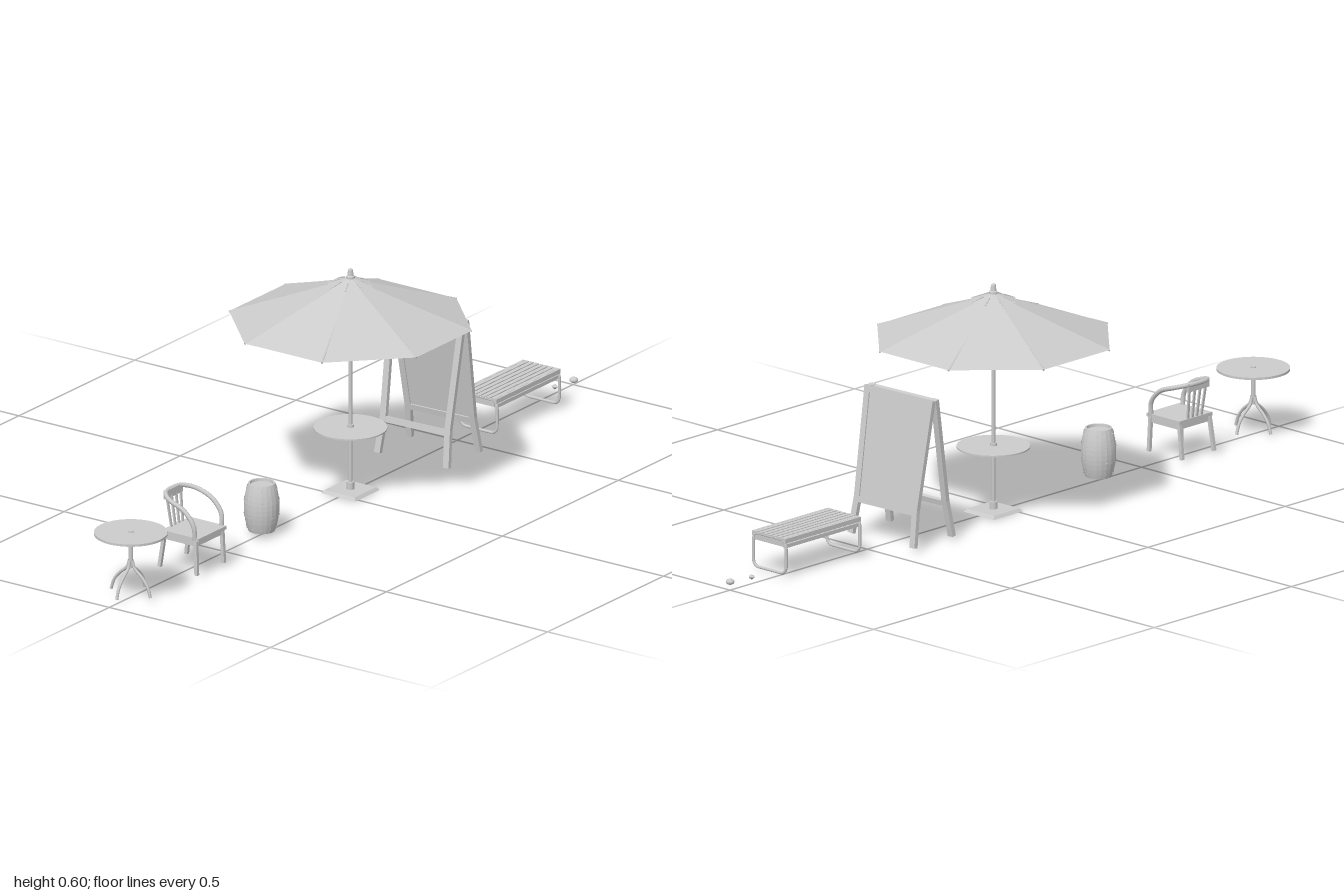
import * as THREE from 'three';

const smooth = new THREE.MeshStandardMaterial({ color: 0xcccccc, side: THREE.DoubleSide });
const flat = new THREE.MeshStandardMaterial({ color: 0xcccccc, side: THREE.DoubleSide, flatShading: true });
const V = (x, y, z) => new THREE.Vector3(x, y, z);

function add(parent, name, geo, x = 0, y = 0, z = 0, mat = flat) {
  const m = new THREE.Mesh(geo, mat);
  m.name = name;
  m.position.set(x, y, z);
  parent.add(m);
  return m;
}
function box(parent, name, w, h, d, x, y, z) {
  return add(parent, name, new THREE.BoxGeometry(w, h, d), x, y, z);
}
function group(parent, name, x = 0, y = 0, z = 0) {
  const g = new THREE.Group();
  g.name = name;
  g.position.set(x, y, z);
  parent.add(g);
  return g;
}
// Straight bar between two points: round when d is omitted, else a w x d box
function bar(parent, name, a, b, w, d) {
  const len = a.distanceTo(b);
  const geo = d ? new THREE.BoxGeometry(w, len, d) : new THREE.CylinderGeometry(w, w, len, 8);
  const m = add(parent, name, geo, 0, 0, 0, d ? flat : smooth);
  m.position.copy(a).add(b).multiplyScalar(0.5);
  m.quaternion.setFromUnitVectors(V(0, 1, 0), b.clone().sub(a).normalize());
  return m;
}
function tube(parent, name, pts, r, closed = false, tension = 0.5) {
  const curve = new THREE.CatmullRomCurve3(pts, closed, 'catmullrom', tension);
  return add(parent, name, new THREE.TubeGeometry(curve, 40, r, 8, closed), 0, 0, 0, smooth);
}
const disc = (r, h, n = 48) => new THREE.CylinderGeometry(r, r, h, n);

function bistroTable(root) {
  const g = group(root, 'bistroTable', -0.907);
  add(g, 'tableTop', disc(0.093, 0.006), 0, 0.173, 0);
  add(g, 'topCap', disc(0.007, 0.004, 12), 0, 0.177, 0);
  bar(g, 'column', V(0, 0.08, 0), V(0, 0.17, 0), 0.006);
  for (let i = 0; i < 4; i++) {
    const a = i * Math.PI / 2, c = Math.cos(a), s = Math.sin(a);
    const p = [[0.005, 0.1], [0.012, 0.08], [0.035, 0.06], [0.052, 0.038], [0.061, 0.012]];
    tube(g, 'tableLeg', p.map(([r, y]) => V(r * c, y, r * s)), 0.004);
    bar(g, 'topSupport', V(0, 0.167, 0), V(0.07 * c, 0.167, 0.07 * s), 0.003);
  }
}

function chair(root) {
  const g = group(root, 'chair', -0.648);
  box(g, 'seat', 0.12, 0.009, 0.115, 0, 0.107, 0.01);
  for (const z of [-0.04, 0.055]) box(g, 'apron', 0.108, 0.016, 0.006, 0, 0.096, z);
  for (const s of [-1, 1]) {
    box(g, 'sideApron', 0.006, 0.016, 0.1, s * 0.054, 0.096, 0.008);
    bar(g, 'frontLeg', V(s * 0.058, 0.012, 0.06), V(s * 0.056, 0.105, 0.056), 0.009, 0.009);
    bar(g, 'rearLeg', V(s * 0.058, 0.012, -0.055), V(s * 0.054, 0.105, -0.042), 0.009, 0.009);
  }
  // Hoop sweeping from the front of the seat over the back
  const half = [[0.057, 0.105, 0.054], [0.06, 0.145, 0.05], [0.06, 0.178, 0.02], [0.057, 0.195, -0.025], [0.035, 0.203, -0.053]];
  tube(g, 'armAndBackHoop', [
    ...half.map(p => V(-p[0], p[1], p[2])), V(0, 0.204, -0.059),
    ...half.map(p => V(...p)).reverse()], 0.006);
  box(g, 'backCrest', 0.075, 0.022, 0.007, 0, 0.196, -0.055);
  for (const x of [-0.03, -0.01, 0.01, 0.03])
    bar(g, 'backSlat', V(x * 0.8, 0.105, -0.042), V(x, 0.196, -0.054), 0.007, 0.004);
}

function barrel(root) {
  const g = group(root, 'barrel', -0.343, 0.013);
  const R = y => 0.045 - 0.011 * ((y - 0.0635) / 0.0635) ** 2;
  const pts = [[0, 0.004], [0.03, 0.004], [0.031, 0]].map(p => new THREE.Vector2(...p));
  for (let i = 0; i <= 10; i++) pts.push(new THREE.Vector2(R(i * 0.0127), i * 0.0127));
  pts.push(new THREE.Vector2(0.03, 0.127), new THREE.Vector2(0.029, 0.12), new THREE.Vector2(0, 0.12));
  add(g, 'barrelStaves', new THREE.LatheGeometry(pts, 20));
  for (const y of [0.012, 0.043, 0.084, 0.115]) {
    add(g, 'hoop', new THREE.CylinderGeometry(R(y + 0.004) + 0.001, R(y - 0.004) + 0.001, 0.008, 20, 1, true), 0, y, 0);
    for (let i = 0; i < 10; i++) {
      const a = i * Math.PI / 5, r = R(y) + 0.001;
      add(g, 'rivet', new THREE.SphereGeometry(0.0015, 6, 4), r * Math.cos(a), y, r * Math.sin(a));
    }
  }
}

function parasol(root) {
  const g = group(root, 'parasol', 0.04);
  const base = add(g, 'base', new THREE.CylinderGeometry(0.066, 0.075, 0.008, 4), 0, 0.005, 0);
  base.rotation.y = Math.PI / 4;
  add(g, 'baseCollar', disc(0.01, 0.02, 12), 0, 0.018, 0);
  bar(g, 'pole', V(0, 0.008, 0), V(0, 0.575, 0), 0.005);
  add(g, 'tableTop', disc(0.093, 0.004), 0, 0.173, 0);
  add(g, 'tableCollar', disc(0.009, 0.012, 12), 0, 0.176, 0);
  // Eight-sided canopy with flat sides towards x and z
  const R = 0.314, rim = 0.459, top = 0.573;
  const canopy = add(g, 'canopy', new THREE.ConeGeometry(R, top - rim, 8, 1, true), 0, (rim + top) / 2, 0);
  canopy.rotation.y = Math.PI / 8;
  const vent = add(g, 'ventCap', new THREE.ConeGeometry(0.06, 0.021, 8, 1, true), 0, 0.567, 0);
  vent.rotation.y = Math.PI / 8;
  add(g, 'runner', disc(0.011, 0.014, 12), 0, 0.478, 0);
  for (let i = 0; i < 8; i++) {
    const a = (i + 0.5) * Math.PI / 4;
    const at = (r, y) => V(r * Math.cos(a), y, r * Math.sin(a));
    bar(g, 'rib', at(0.005, top - 0.006), at(R, rim - 0.001), 0.0025);
    bar(g, 'strut', at(0.008, 0.478), at(0.16, 0.509), 0.002);
    bar(g, 'ventBattens', at(0.028, 0.569), at(0.058, 0.557), 0.0015);
  }
  const finial = [[0, 0.572], [0.011, 0.574], [0.011, 0.579], [0.008, 0.582], [0.006, 0.597], [0.003, 0.6], [0, 0.6]];
  add(g, 'finial', new THREE.LatheGeometry(finial.map(p => new THREE.Vector2(...p)), 12));
}

function signBoard(root) {
  const g = group(root, 'signBoard', 0.368, 0.384, 0.006);
  g.rotation.y = 0.04;
  for (const s of [-1, 1]) {
    // Each leaf hangs from the top hinge and swings outward
    const leaf = group(g, s > 0 ? 'boardLeaf' : 'supportLeaf', s * 0.006);
    leaf.rotation.z = s * 0.178;
    for (const k of [-1, 1]) {
      bar(leaf, 'upright', V(0, 0, k * 0.106), V(0, -0.29, k * 0.097), 0.012, 0.017);
      bar(leaf, 'foot', V(0, -0.28, k * 0.097), V(0, -0.379, k * 0.104), 0.012, 0.017);
    }
    if (s > 0) {
      box(leaf, 'topRail', 0.012, 0.016, 0.212, 0, -0.008, 0);
      box(leaf, 'bottomRail', 0.012, 0.016, 0.195, 0, -0.29, 0);
      const panel = new THREE.BoxGeometry(0.005, 0.27, 0.2);
      const p = panel.attributes.position;
      for (let i = 0; i < p.count; i++) if (p.getY(i) < 0) p.setZ(i, p.getZ(i) * 0.93);
      add(leaf, 'panel', panel, 0, -0.15, 0);
    } else {
      box(leaf, 'topRail', 0.012, 0.014, 0.212, 0, -0.008, 0);
      box(leaf, 'crossBar', 0.01, 0.015, 0.19, 0, -0.29, 0);
    }
  }
}

function bench(root) {
  const g = group(root, 'bench', 0.701, 0, 0.019);
  // Rounded loop frames at both ends
  for (const s of [-1, 1]) {
    const pts = [];
    for (const [cz, cy, a0] of [[0.04, 0.086, 0], [-0.04, 0.086, 1], [-0.04, 0.032, 2], [0.04, 0.032, 3]])
      for (let i = 0; i <= 4; i++) {
        const a = (a0 + i / 4) * Math.PI / 2;
        pts.push(V(s * 0.134, cy + 0.017 * Math.sin(a), cz + 0.017 * Math.cos(a)));
      }
    tube(g, 'endFrame', pts, 0.004, true, 0.2);
  }
  for (const s of [-1, 1]) {
    box(g, 'upperRail', 0.276, 0.012, 0.006, 0, 0.102, s * 0.055);
    box(g, 'lowerRail', 0.276, 0.01, 0.005, 0, 0.088, s * 0.054);
    box(g, 'endRail', 0.006, 0.014, 0.1, s * 0.134, 0.093, 0);
  }
  for (let i = 0; i < 7; i++) box(g, 'seatSlat', 0.276, 0.006, 0.0115, 0, 0.105, (i - 3) * 0.0152);
  for (let i = -2; i <= 2; i++) box(g, 'crossSupport', 0.006, 0.005, 0.106, i * 0.055, 0.0995, 0);
}

function smallItems(root) {
  const a = group(root, 'facetedKnob', 0.921, 0.019, 0);
  add(a, 'knobBody', new THREE.OctahedronGeometry(0.01)).scale.y = 0.75;
  const b = group(root, 'roundKnob', 0.989, 0.019, 0.01);
  add(b, 'knobBody', new THREE.SphereGeometry(0.011, 16, 12), 0, 0, 0, smooth).scale.y = 0.7;
}

export function createModel() {
  const root = new THREE.Group();
  root.name = 'terraceFurniture';
  for (const build of [bistroTable, chair, barrel, parasol, signBoard, bench, smallItems]) build(root);
  return root;
}
